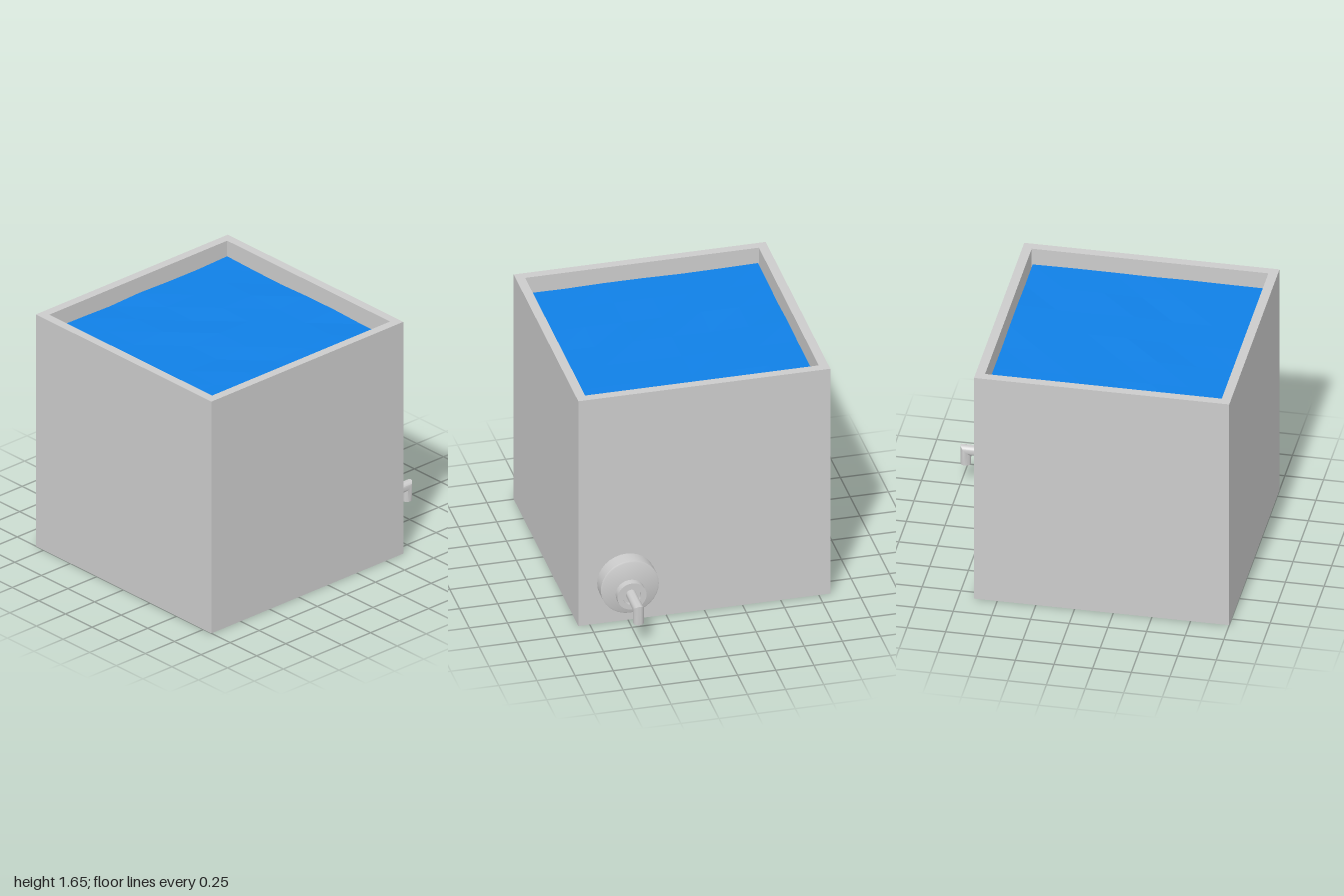
import * as THREE from 'three';
import { toCreasedNormals } from 'three/addons/utils/BufferGeometryUtils.js';

const HALF = 0.825, HEIGHT = 1.65, INNER = 0.765, CENTRE_Z = 0.175;
const grey = new THREE.MeshStandardMaterial({ color: 0xcccccc });
const blue = new THREE.MeshStandardMaterial({ color: 0x1080e6, flatShading: true, side: THREE.DoubleSide });

function part(name, geometry, material, x = 0, y = 0, z = 0) {
  const mesh = new THREE.Mesh(geometry, material);
  mesh.name = name;
  mesh.position.set(x, y, z);
  return mesh;
}

function square(Type, h) {
  return new Type([[-h, -h], [h, -h], [h, h], [-h, h]].map(p => new THREE.Vector2(...p)));
}

// Turned part whose axis points to the back
function turned(profile) {
  const lathe = new THREE.LatheGeometry(profile.map(p => new THREE.Vector2(...p)), 32);
  lathe.rotateX(-Math.PI / 2);
  return toCreasedNormals(lathe, 0.6);
}

// Hollow pipe running back, then mitred straight down; origin on the axis
function spoutGeometry() {
  const N = 24, R = 0.034, r = 0.021, bend = -0.216, drop = -0.1;
  const sections = [
    [R, (u) => [u, 0]],
    [R, (u) => [u, bend - u]],
    [R, (u) => [drop, bend - u]],
    [r, (u) => [drop, bend - u]],
    [r, (u) => [u, bend - u]],
    [r, (u) => [u, 0]],
  ];
  const pos = [], index = [];
  for (const [radius, place] of sections) {
    for (let i = 0; i < N; i++) {
      const a = (i / N) * Math.PI * 2;
      pos.push(Math.cos(a) * radius, ...place(Math.sin(a) * radius));
    }
  }
  for (let s = 0; s < sections.length - 1; s++) {
    for (let i = 0; i < N; i++) {
      const a = s * N + i, b = s * N + (i + 1) % N;
      index.push(a, a + N, b, b, a + N, b + N);
    }
  }
  const g = new THREE.BufferGeometry();
  g.setAttribute('position', new THREE.Float32BufferAttribute(pos, 3));
  g.setIndex(index);
  return toCreasedNormals(g, 0.6);
}

// Gently rippled low-poly surface
function waterGeometry() {
  const g = new THREE.PlaneGeometry(1.514, 1.514, 6, 6);
  g.rotateX(-Math.PI / 2);
  const p = g.attributes.position;
  for (let i = 0; i < p.count; i++) {
    p.setY(i, 0.005 * Math.sin(p.getX(i) * 7 + 0.6) * Math.cos(p.getZ(i) * 9 + 0.4));
  }
  return g;
}

export function createModel() {
  const model = new THREE.Group();

  // Open tank
  const tank = new THREE.Group();
  tank.name = 'tank';
  const outline = square(THREE.Shape, HALF);
  outline.holes.push(square(THREE.Path, INNER));
  const walls = new THREE.ExtrudeGeometry(outline, { depth: HEIGHT, bevelEnabled: false });
  walls.rotateX(-Math.PI / 2);
  tank.add(part('walls', walls, grey, 0, 0, CENTRE_Z));
  tank.add(part('floor', new THREE.BoxGeometry(INNER * 2, 0.06, INNER * 2), grey, 0, 0.03, CENTRE_Z));
  model.add(tank);

  // Water
  model.add(part('water', waterGeometry(), blue, 0, 1.54, CENTRE_Z));

  // Outlet on the back wall
  const tap = new THREE.Group();
  tap.name = 'tap';
  tap.position.set(0.512, 0.258, -0.65);
  tap.add(part('flange', turned([[0.19, 0], [0.19, 0.095], [0.18, 0.1], [0, 0.105]]), grey, 0, 0.039, 0));
  tap.add(part('collar', turned([[0.095, 0.09], [0.095, 0.152], [0.06, 0.152], [0.06, 0.125], [0, 0.125]]), grey));
  tap.add(part('spout', spoutGeometry(), grey, 0, 0, -0.1));
  model.add(tap);

  return model;
}
